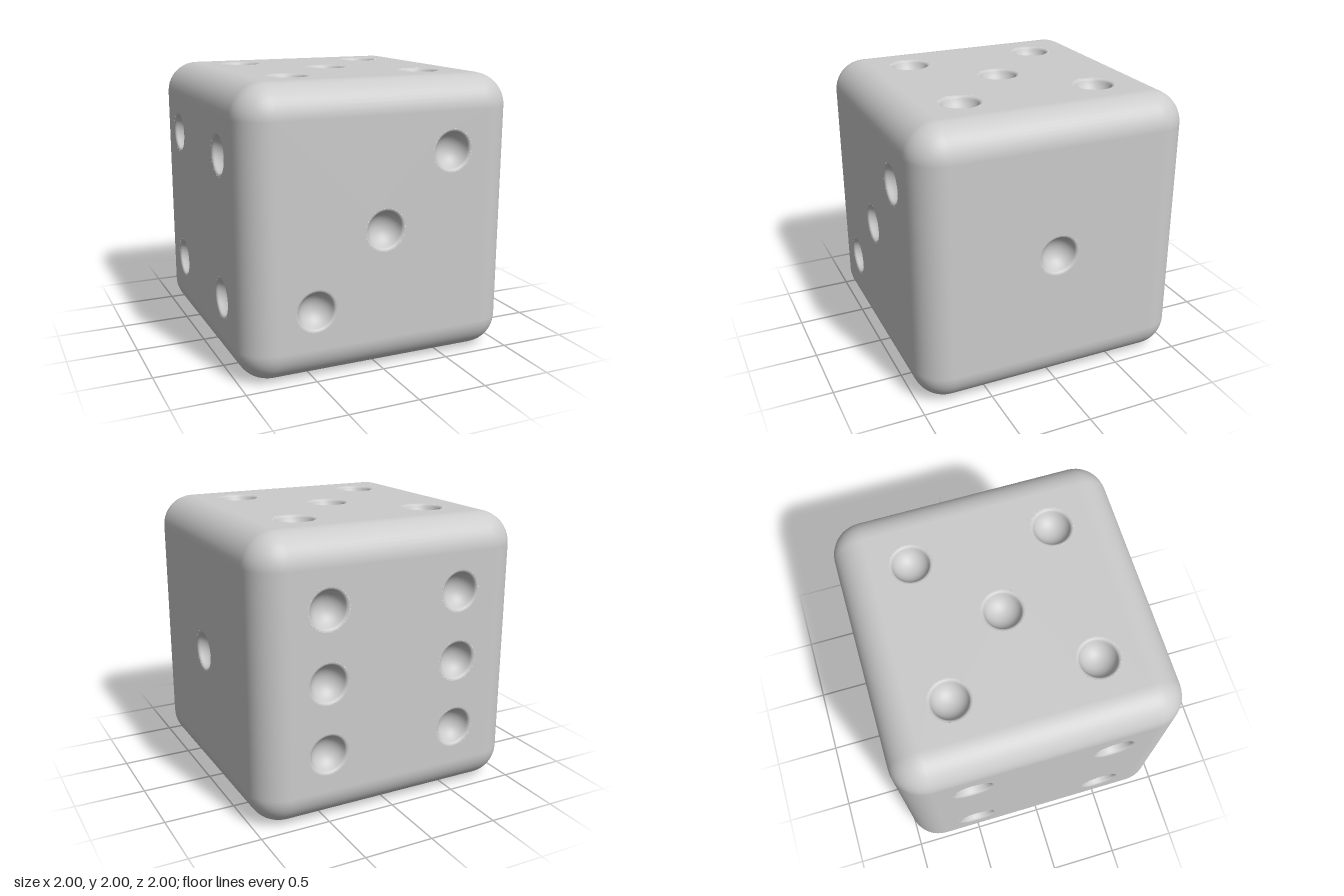
import * as THREE from 'three';
import { RoundedBoxGeometry } from 'three/addons/geometries/RoundedBoxGeometry.js';

const ROUND = 0.23;        // edge radius
const FLAT = 1 - ROUND;    // half width of the flat part of each face
const RIM = 0.15;          // outer radius of a pip, where its lip meets the face
const LIP = 0.025;         // radius of the soft lip
const SLOPE = 1.22;        // steepest slope of the bowl, in radians
const SEGMENTS = 32;

// Rounded edges and corners: a rounded box without its six flat centres
function shellGeometry() {
  const box = new RoundedBoxGeometry(2, 2, 2, 6, ROUND);
  const source = box.index ? box.toNonIndexed() : box;
  const p = source.attributes.position, n = source.attributes.normal;
  const positions = [], normals = [];
  for (let i = 0; i < p.count; i += 3) {
    const centre = [0, 1, 2].map((c) =>
      Math.abs(p.getComponent(i, c) + p.getComponent(i + 1, c) + p.getComponent(i + 2, c)) / 3);
    if (centre.filter((c) => c < FLAT - 1e-4).length === 2) continue;
    for (let k = i; k < i + 3; k++) {
      positions.push(p.getX(k), p.getY(k), p.getZ(k));
      normals.push(n.getX(k), n.getY(k), n.getZ(k));
    }
  }
  const geometry = new THREE.BufferGeometry();
  geometry.setAttribute('position', new THREE.Float32BufferAttribute(positions, 3));
  geometry.setAttribute('normal', new THREE.Float32BufferAttribute(normals, 3));
  return geometry;
}

// Pip: soft lip running tangentially into a spherical bowl, opening towards +z
function pipGeometry() {
  const points = [];
  for (let i = 0; i <= 5; i++) {
    const a = (SLOPE * i) / 5;
    points.push(new THREE.Vector2(RIM - LIP * Math.sin(a), LIP * (Math.cos(a) - 1)));
  }
  const edge = points[5];
  const bowl = edge.x / Math.sin(SLOPE);
  for (let i = 9; i >= 0; i--) {
    const a = (SLOPE * i) / 10;
    points.push(new THREE.Vector2(bowl * Math.sin(a), edge.y + bowl * (Math.cos(SLOPE) - Math.cos(a))));
  }
  return new THREE.LatheGeometry(points, SEGMENTS).rotateX(Math.PI / 2);
}

// Flat square with a round hole for every pip
function plateGeometry(pips) {
  const shape = new THREE.Shape([[-1, -1], [1, -1], [1, 1], [-1, 1]]
    .map(([x, y]) => new THREE.Vector2(x * FLAT, y * FLAT)));
  for (const [x, y] of pips) {
    shape.holes.push(new THREE.Path().absarc(x, y, RIM, 0, Math.PI * 2, true));
  }
  return new THREE.ShapeGeometry(shape, SEGMENTS);
}

export function createModel() {
  const die = new THREE.Group();
  die.name = 'die';
  const material = new THREE.MeshStandardMaterial({ color: 0xcccccc });
  const add = (parent, name, geometry) => {
    const mesh = new THREE.Mesh(geometry, material);
    mesh.name = name;
    parent.add(mesh);
    return mesh;
  };

  add(die, 'roundedEdges', shellGeometry()).position.y = 1;

  // Pip layouts
  const d = 0.5, q = Math.PI / 2;
  const one = [[0, 0]];
  const two = [[d, d], [-d, -d]];
  const three = [...two, ...one];
  const four = [...two, [-d, d], [d, -d]];
  const five = [...four, ...one];
  const six = [...four, [-d, 0], [d, 0]];

  // Faces: name, pips, rotation about x, rotation about y
  const faces = [
    ['front', three, 0, 0],
    ['back', six, 0, 2 * q],
    ['left', one, 0, q],
    ['right', four, 0, -q],
    ['top', five, -q, 0],
    ['bottom', two, q, 0],
  ];
  const pip = pipGeometry();
  for (const [name, pips, rx, ry] of faces) {
    const face = new THREE.Group();
    face.name = name + 'Face';
    face.rotation.set(rx, ry, 0);
    face.position.set(0, 0, 1).applyEuler(face.rotation);
    face.position.y += 1;
    add(face, name + 'Plate', plateGeometry(pips));
    for (const [x, y] of pips) add(face, name + 'Pip', pip).position.set(x, y, 0);
    die.add(face);
  }
  return die;
}
